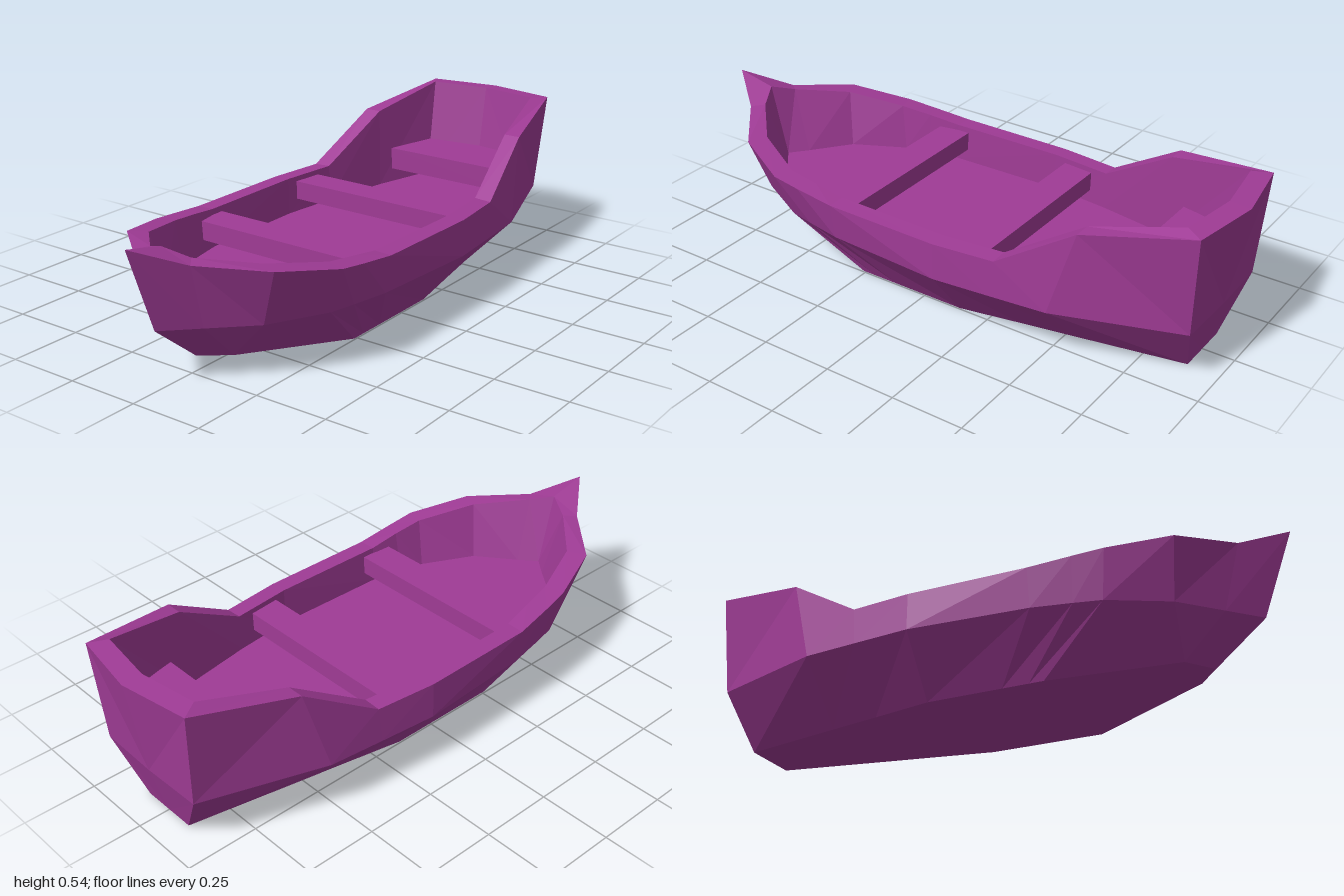
import * as THREE from 'three';

// Long lines of the boat, each running from the stern centre along one side to the bow: [x, y, z]
const keelEdge = [[0, 0, -0.89], [0.1, 0, -0.89], [0.17, 0, -0.53], [0.204, 0, -0.35], [0.245, 0, -0.14], [0.245, 0, 0.12],
  [0.245, 0, 0.21], [0.245, 0, 0.26], [0.09, 0.05, 0.66], [0.045, 0.05, 0.695], [0, 0.05, 0.73]];
const chine = [[0, 0.19, -0.945], [0.215, 0.19, -0.94], [0.355, 0.19, -0.53], [0.375, 0.19, -0.34], [0.395, 0.19, -0.14], [0.37, 0.19, 0.27],
  [0.345, 0.19, 0.4], [0.325, 0.19, 0.49], [0.225, 0.19, 0.68], [0.1, 0.19, 0.802], [0, 0.19, 0.9]];
const sheer = [[0, 0.535, -1], [0.245, 0.535, -0.96], [0.326, 0.475, -0.61], [0.37, 0.315, -0.35], [0.393, 0.315, -0.14], [0.39, 0.318, 0.27],
  [0.38, 0.335, 0.41], [0.37, 0.348, 0.51], [0.288, 0.38, 0.71], [0.112, 0.405, 0.86], [0, 0.47, 1]];
const innerRim = [[0, 0.54, -0.93], [0.208, 0.54, -0.9], [0.268, 0.475, -0.61], [0.31, 0.318, -0.35], [0.332, 0.318, -0.14], [0.328, 0.32, 0.27],
  [0.318, 0.336, 0.38], [0.305, 0.35, 0.49], [0.225, 0.382, 0.68], [0.08, 0.41, 0.82], [0, 0.44, 0.86]];
const floorEdge = [[0, 0.19, -0.875], [0.203, 0.19, -0.85], [0.262, 0.19, -0.61], [0.305, 0.19, -0.35], [0.328, 0.19, -0.14], [0.322, 0.19, 0.27],
  [0.3, 0.19, 0.38], [0.28, 0.19, 0.47], [0.19, 0.19, 0.65], [0.06, 0.19, 0.75], [0, 0.19, 0.8]];

// The two sides bulge a little differently towards the bow
const bulge = [0, 0, 0, 0, 0, 0, 0.008, 0.014, 0.003, 0, 0];

const toCentre = line => line.map(([, y, z]) => [0, y, z]);
const bulged = (line, side) => line.map(([x, y, z], j) => [x + side * bulge[j], y, z]);

// Joins neighbouring lines with faces on both sides of the boat
function loft(lines, material, name) {
  const positions = [];
  for (const side of [1, -1]) {
    const rows = lines.map(l => (l === sheer || l === innerRim ? bulged(l, side) : l));
    for (let i = 0; i < rows.length - 1; i++) {
      for (let j = 0; j < rows[i].length - 1; j++) {
        const a = rows[i][j], b = rows[i][j + 1], c = rows[i + 1][j + 1], d = rows[i + 1][j];
        const corners = side > 0 ? [a, d, c, a, c, b] : [a, c, d, a, b, c];
        for (const [x, y, z] of corners) positions.push(side * x, y, z);
      }
    }
  }
  const geometry = new THREE.BufferGeometry();
  geometry.setAttribute('position', new THREE.Float32BufferAttribute(positions, 3));
  geometry.computeVertexNormals();
  const mesh = new THREE.Mesh(geometry, material);
  mesh.name = name;
  return mesh;
}

// Board with a tapering plan, given half widths at its back and front
function board(name, material, zBack, zFront, halfBack, halfFront, bottom, top) {
  const plan = new THREE.Shape([
    new THREE.Vector2(-halfBack, -zBack), new THREE.Vector2(-halfFront, -zFront),
    new THREE.Vector2(halfFront, -zFront), new THREE.Vector2(halfBack, -zBack),
  ]);
  const geometry = new THREE.ExtrudeGeometry(plan, { depth: top - bottom, bevelEnabled: false });
  geometry.rotateX(-Math.PI / 2);
  geometry.translate(0, bottom, 0);
  const mesh = new THREE.Mesh(geometry, material);
  mesh.name = name;
  return mesh;
}

export function createModel() {
  const boat = new THREE.Group();
  boat.name = 'rowingBoat';
  const paint = new THREE.MeshStandardMaterial({ color: 0x9f3b95, flatShading: true });
  paint.name = 'purplePaint';

  // Shell: underside, lower and upper planking with the transom
  boat.add(loft([toCentre(keelEdge), keelEdge, chine, sheer], paint, 'hull'));
  boat.add(loft([sheer, innerRim], paint, 'rim'));
  boat.add(loft([innerRim, floorEdge], paint, 'innerWall'));
  boat.add(loft([floorEdge, toCentre(floorEdge)], paint, 'floor'));

  // Seats, their ends let into the walls
  boat.add(board('sternSeat', paint, -0.9, -0.67, 0.21, 0.265, 0.24, 0.32));
  boat.add(board('middleBench', paint, -0.29, -0.18, 0.335, 0.345, 0.235, 0.3));
  boat.add(board('frontBench', paint, 0.225, 0.34, 0.345, 0.335, 0.235, 0.3));
  return boat;
}
